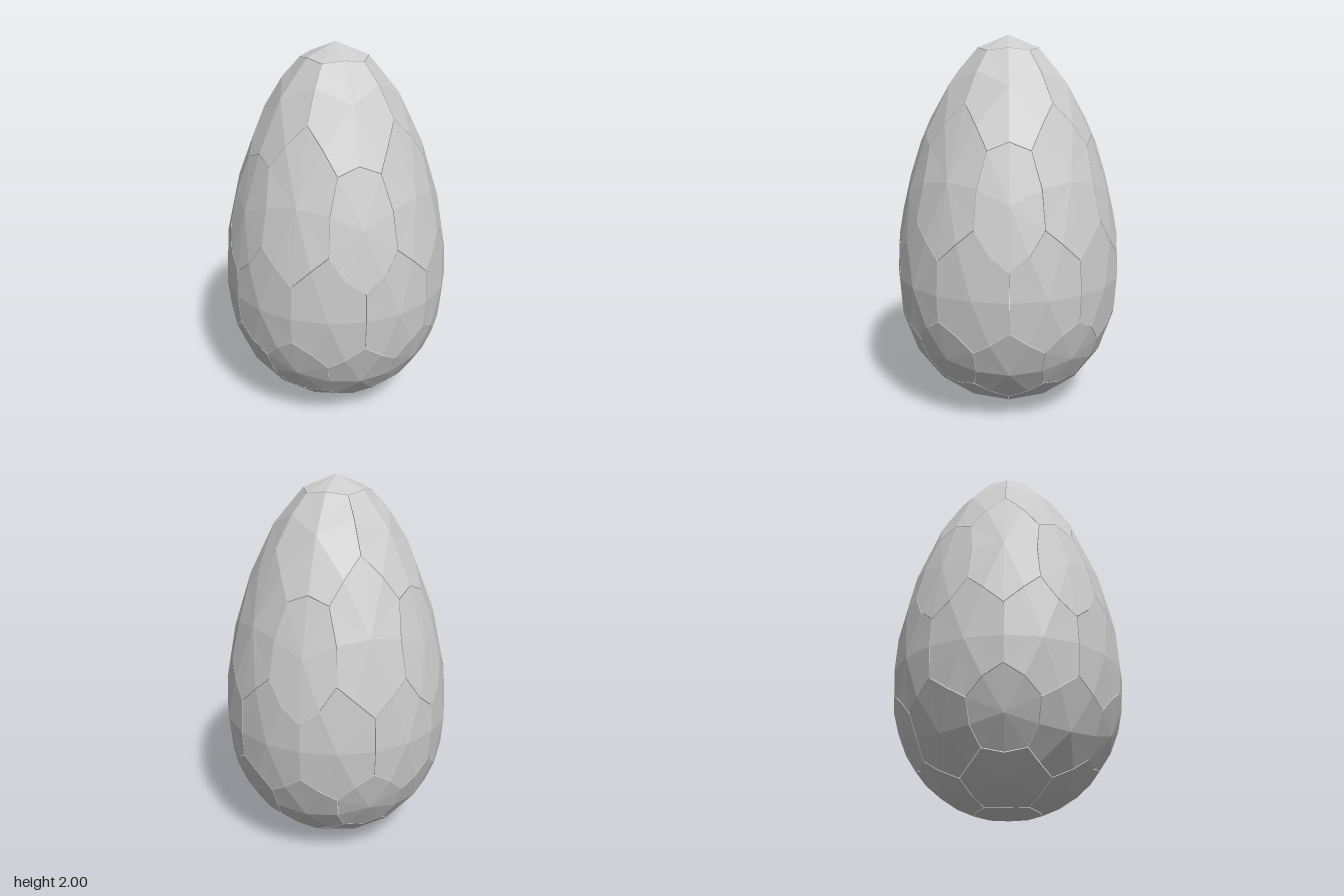
import * as THREE from 'three';

const CENTRE_Y = 0.73, RADIUS = 0.61, GAP = 0.002, INNER = 0.95;

// Icosahedron standing on a vertex, each face split in four (42 cell centres)
function cellSphere() {
  const verts = [0, 1, 0, 0, -1, 0], faces = [];
  const h = 1 / Math.sqrt(5), r = 2 * h;
  for (let i = 0; i < 5; i++) {
    const a = i * Math.PI * 0.4, b = a + Math.PI * 0.2;
    verts.push(r * Math.cos(a), h, r * Math.sin(a), r * Math.cos(b), -h, r * Math.sin(b));
    const u = 2 + 2 * i, l = u + 1, u2 = 2 + 2 * ((i + 1) % 5), l2 = u2 + 1;
    faces.push(0, u2, u, u, u2, l, l, u2, l2, 1, l, l2);
  }
  return new THREE.PolyhedronGeometry(verts, faces, 1, 1);
}

// Sphere point to egg surface: round in plan, stretched towards the top
function toEgg(v) {
  const c = v.y;
  return new THREE.Vector3(v.x * RADIUS, CENTRE_Y + c * (0.9 + 0.27 * c + 0.1 * c * c), v.z * RADIUS);
}

// Collect, for every cell centre, the rim edges that surround it
function collectCells() {
  const pos = cellSphere().getAttribute('position');
  const cells = new Map();
  const mid = (...pts) => pts.reduce((s, p) => s.add(p), new THREE.Vector3()).normalize();
  for (let i = 0; i < pos.count; i += 3) {
    const t = [0, 1, 2].map(k => new THREE.Vector3().fromBufferAttribute(pos, i + k).normalize());
    const g = mid(...t);
    for (let k = 0; k < 3; k++) {
      const a = t[k], b = t[(k + 1) % 3], c = t[(k + 2) % 3];
      const key = a.toArray().map(n => Math.round(n * 1000)).join();
      if (!cells.has(key)) cells.set(key, { centre: a, rim: [] });
      cells.get(key).rim.push([mid(a, b), g], [g, mid(a, c)]);
    }
  }
  return [...cells.values()];
}

// Solid faceted plate: outer fan, side walls in the seam, inner fan
function plateGeometry({ centre, rim }) {
  const c = toEgg(centre), pts = [];
  const origin = new THREE.Vector3(0, CENTRE_Y, 0);
  const inward = p => p.clone().sub(origin).multiplyScalar(INNER).add(origin);
  const inset = v => {
    const p = toEgg(v);
    return p.addScaledVector(c.clone().sub(p).normalize(), GAP);
  };
  const c2 = inward(c);
  for (const [a, b] of rim) {
    const p = inset(a), q = inset(b), p2 = inward(p), q2 = inward(q);
    pts.push(c, p, q, q, p, p2, q, p2, q2, c2, q2, p2);
  }
  const geo = new THREE.BufferGeometry().setFromPoints(pts);
  geo.computeVertexNormals();
  return geo;
}

export function createModel() {
  const egg = new THREE.Group();
  egg.name = 'eggShell';
  const material = new THREE.MeshStandardMaterial({ color: 0xcccccc, flatShading: true });
  // Twelve five-sided and thirty six-sided plates
  for (const cell of collectCells()) {
    const plate = new THREE.Mesh(plateGeometry(cell), material);
    plate.name = cell.rim.length === 10 ? 'pentagonPlate' : 'hexagonPlate';
    egg.add(plate);
  }
  return egg;
}
